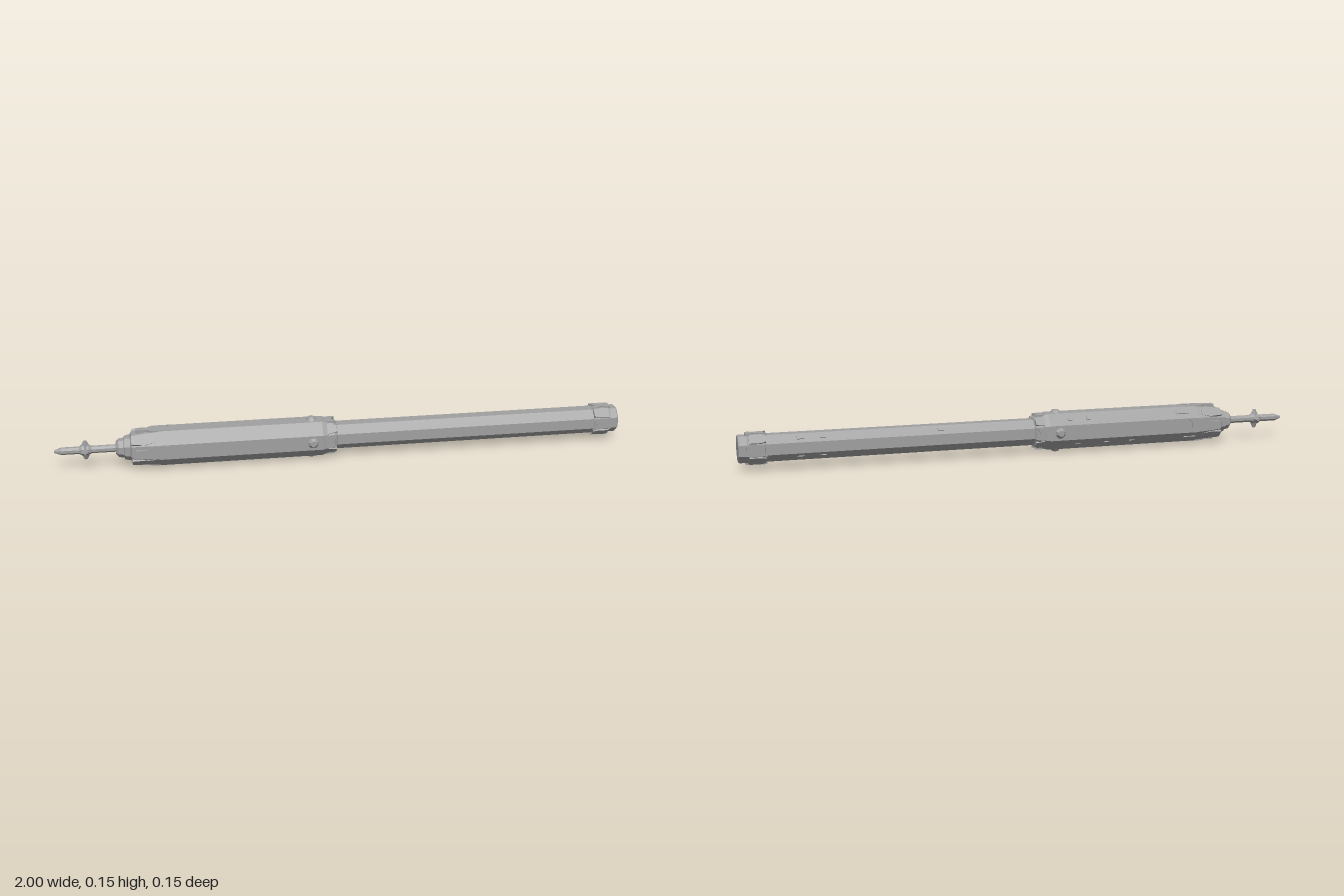
import * as THREE from 'three';

const AXIS_Y = 0.075;

export function createModel() {
  const model = new THREE.Group();
  model.name = 'tool';
  const metal = new THREE.MeshStandardMaterial({ color: 0xa0a0a0 });
  metal.name = 'grey metal';

  const add = (name, geometry, parent = model) => {
    const flat = geometry.index ? geometry.toNonIndexed() : geometry;
    flat.computeVertexNormals();
    const mesh = new THREE.Mesh(flat, metal);
    mesh.name = name;
    parent.add(mesh);
    return mesh;
  };

  // Eight-sided solid along x; profile pairs are [x, distance to flat face]
  const octagon = (name, profile) => {
    const pts = profile.map(([x, a]) => new THREE.Vector2(a / Math.cos(Math.PI / 8), x));
    const g = new THREE.LatheGeometry(pts, 8, Math.PI / 8);
    g.rotateZ(-Math.PI / 2);
    add(name, g).position.y = AXIS_Y;
  };

  // Group whose +z points out of one of the eight faces (0 front, 2 top, 4 back, 6 bottom)
  const face = (k, name) => {
    const g = new THREE.Group();
    g.name = name;
    g.position.y = AXIS_Y;
    g.rotation.x = -k * Math.PI / 4;
    model.add(g);
    return g;
  };

  // Raised plate from an outline in (x, width), between two heights
  const plate = (name, k, outline, low, high) => {
    const shape = new THREE.Shape(outline.map(([x, y]) => new THREE.Vector2(x, y)));
    const g = new THREE.ExtrudeGeometry(shape, { depth: high - low, bevelEnabled: false });
    add(name, g, face(k, name + 'Mount')).position.z = low;
  };

  // Main tubes and housings
  octagon('rearTube', [[-0.05, 0], [-0.05, 0.045], [0.93, 0.045], [0.93, 0]]);
  octagon('gripBody', [[-0.64, 0], [-0.64, 0.064], [-0.075, 0.064], [-0.055, 0.058], [-0.055, 0]]);
  octagon('nose', [[-0.79, 0], [-0.79, 0.02], [-0.78, 0.03], [-0.762, 0.032], [-0.76, 0.038],
    [-0.74, 0.042], [-0.735, 0.051], [-0.69, 0.058], [-0.63, 0.063], [-0.63, 0]]);
  octagon('collar', [[-0.06, 0], [-0.06, 0.056], [-0.035, 0.056], [-0.025, 0.05], [-0.022, 0.045], [-0.022, 0]]);
  octagon('endCap', [[0.91, 0.044], [0.915, 0.049], [0.965, 0.049], [0.972, 0.045], [0.995, 0.045],
    [1, 0.042], [1, 0]]);

  // Spike with a sharpened tip
  octagon('spike', [[-1, 0], [-1, 0.004], [-0.975, 0.012], [-0.78, 0.012], [-0.78, 0]]);
  octagon('spikeHub', [[-0.915, 0.011], [-0.905, 0.018], [-0.885, 0.018], [-0.87, 0.011]]);

  for (let k = 0; k < 8; k += 2) {
    // Side bolts
    const bolt = new THREE.CylinderGeometry(0.011, 0.021, 0.013, 8);
    bolt.rotateY(Math.PI / 8);
    bolt.rotateX(Math.PI / 2);
    add('bolt', bolt, face(k, 'boltMount')).position.set(-0.11, 0, 0.0685);

    // Fins around the spike
    const fin = new THREE.CylinderGeometry(0.006, 0.016, 0.022, 4);
    fin.rotateX(Math.PI / 2);
    add('spikeFin', fin, face(k, 'finMount')).position.set(-0.893, 0, 0.023);

    // Notched nose panels
    plate('nosePanel', k, [[-0.72, -0.012], [-0.68, -0.012], [-0.665, -0.024], [-0.6, -0.024],
      [-0.615, -0.01], [-0.615, 0.01], [-0.6, 0.024], [-0.665, 0.024], [-0.68, 0.012], [-0.72, 0.012]], 0.05, 0.0655);

    // Pointed collar plates
    plate('collarPlate', k, [[-0.075, -0.018], [-0.045, -0.024], [-0.028, -0.02], [-0.04, 0],
      [-0.028, 0.02], [-0.045, 0.024], [-0.075, 0.018], [-0.06, 0]], 0.045, 0.062);

    // End cap chevrons
    plate('endChevron', k, [[0.905, -0.02], [0.93, -0.02], [0.945, -0.008], [0.965, -0.021],
      [0.975, -0.014], [0.975, 0.014], [0.965, 0.021], [0.945, 0.008], [0.93, 0.02], [0.905, 0.02],
      [0.92, 0]], 0.04, 0.053);
  }

  for (let k = 1; k < 8; k += 2) {
    // Diagonal armour between the chevrons
    plate('noseCorner', k, [[-0.735, -0.016], [-0.69, -0.02], [-0.66, -0.012], [-0.66, 0.012],
      [-0.69, 0.02], [-0.735, 0.016]], 0.045, 0.061);
    plate('collarCorner', k, [[-0.06, -0.02], [-0.025, -0.012], [-0.025, 0.012], [-0.06, 0.02]], 0.045, 0.059);
    plate('endCorner', k, [[0.91, -0.012], [0.925, -0.018], [0.965, -0.018], [0.965, 0.018],
      [0.925, 0.018], [0.91, 0.012]], 0.04, 0.054);
  }

  // Small raised tabs on the two rear diagonals: face, x, length, height of face
  const tabs = [
    [3, -0.58, 0.046, 0.064], [3, -0.22, 0.016, 0.064], [3, -0.15, 0.016, 0.064],
    [3, 0.315, 0.02, 0.045], [3, 0.72, 0.02, 0.045], [3, 0.795, 0.024, 0.045],
    [5, -0.61, 0.046, 0.064], [5, -0.385, 0.018, 0.064], [5, -0.29, 0.018, 0.064],
    [5, -0.18, 0.018, 0.064], [5, 0.72, 0.02, 0.045], [5, 0.795, 0.024, 0.045],
  ];
  for (const [k, x, length, height] of tabs) {
    const tab = new THREE.BoxGeometry(length, 0.011, 0.006);
    add('tab', tab, face(k, 'tabMount')).position.set(x, 0, height);
  }

  return model;
}
